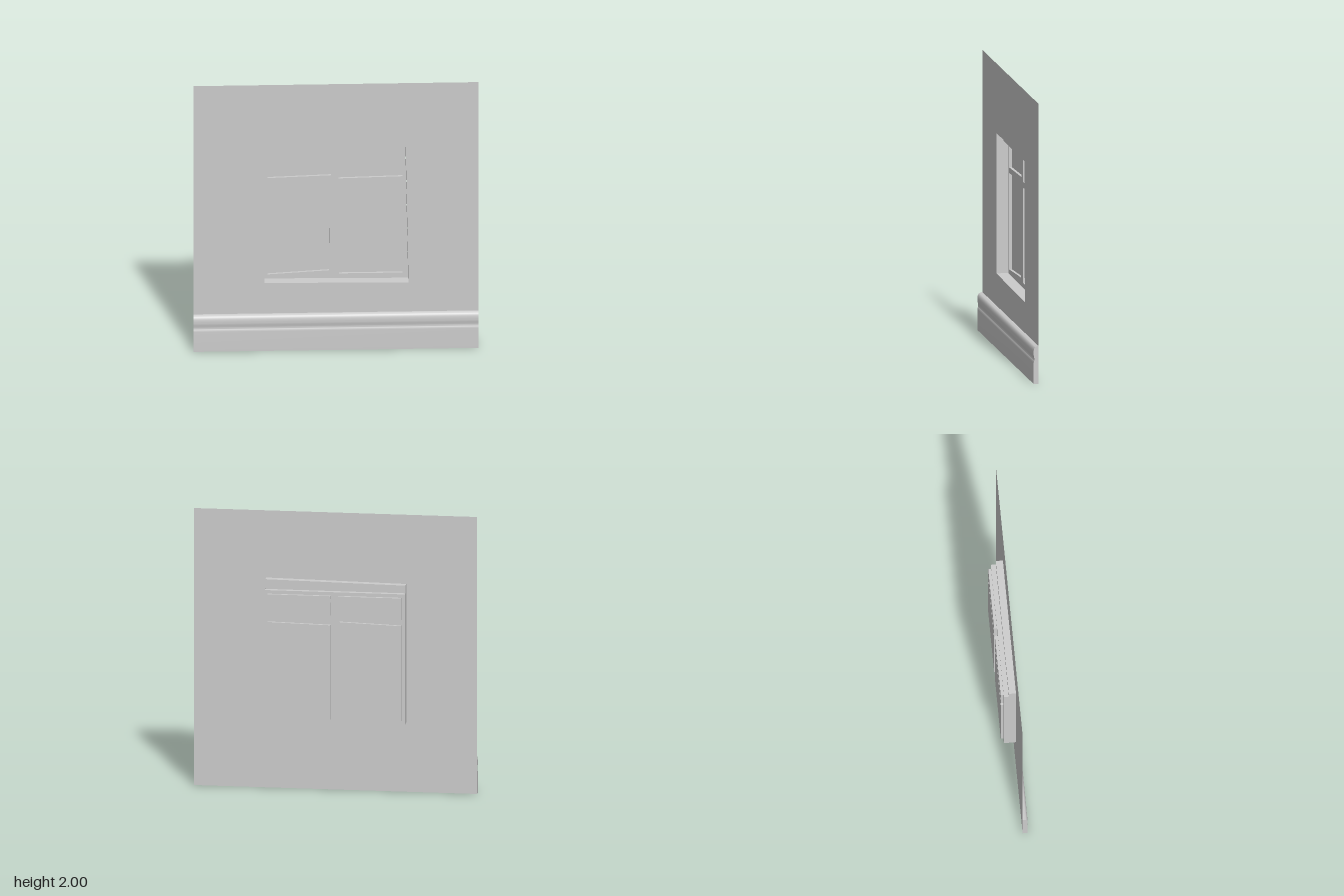
import * as THREE from 'three';
import { toCreasedNormals } from 'three/addons/utils/BufferGeometryUtils.js';

const material = new THREE.MeshStandardMaterial({ color: 0xcccccc, side: THREE.DoubleSide });

// depths from the wall face back to the glass
const WALL = 0.035, LEDGE = -0.015, FRAME = -0.05, GLASS = -0.07;

// outlines run counter-clockwise from bottom left
const opening = [[-0.5, 0.5], [0.51, 0.49], [0.49, 1.515], [-0.5, 1.5]];
const inner = [[-0.5, 0.5], [0.51, 0.49], [0.491, 1.445], [-0.5, 1.445]];
const panes = {
  upperRightPane: [[-0.475, 1.26], [-0.03, 1.275], [-0.03, 1.42], [-0.475, 1.42]],
  upperLeftPane: [[0.02, 1.25], [0.47, 1.26], [0.47, 1.42], [0.025, 1.42]],
  lowerRightPane: [[-0.475, 0.53], [-0.045, 0.555], [-0.04, 1.235], [-0.475, 1.22]],
  lowerLeftPane: [[0.025, 0.53], [0.47, 0.53], [0.47, 1.22], [0.025, 1.21]],
};

const toPoints = (outline) => outline.map(([x, y]) => new THREE.Vector2(x, y));

// flat sheet facing +z, with optional holes
function sheet(outline, z, holes = []) {
  const shape = new THREE.Shape(toPoints(outline));
  shape.holes = holes.map((h) => new THREE.Path(toPoints(h)));
  return new THREE.ShapeGeometry(shape).translate(0, 0, z);
}

// inward-facing band that carries an outline from zFront back to zBack
function reveal(outline, zFront, zBack) {
  const pos = [];
  outline.forEach(([ax, ay], i) => {
    const [bx, by] = outline[(i + 1) % outline.length];
    pos.push(ax, ay, zFront, bx, by, zFront, bx, by, zBack);
    pos.push(ax, ay, zFront, bx, by, zBack, ax, ay, zBack);
  });
  const geometry = new THREE.BufferGeometry();
  geometry.setAttribute('position', new THREE.Float32BufferAttribute(pos, 3));
  geometry.computeVertexNormals();
  return geometry;
}

export function createModel() {
  const model = new THREE.Group();
  model.name = 'wallWithWindow';
  const add = (name, geometry, parent = model) => {
    const mesh = new THREE.Mesh(geometry, material);
    mesh.name = name;
    parent.add(mesh);
    return mesh;
  };

  // wall with the window opening
  add('wall', sheet([[-1, 0], [1, 0], [1, 2], [-1, 2]], WALL, [opening]));

  // stepped recess: full opening, lintel step, then the shorter inner part
  add('outerReveal', reveal(opening, WALL, LEDGE));
  add('lintelStep', sheet([inner[3], inner[2], opening[2], opening[3]], LEDGE));
  add('innerReveal', reveal(inner, LEDGE, FRAME));

  // frame with four sunken panes
  add('windowFrame', sheet(inner, FRAME, Object.values(panes)));
  for (const [name, outline] of Object.entries(panes)) {
    const pane = new THREE.Group();
    pane.name = name;
    add('paneEdge', reveal(outline, FRAME, GLASS), pane);
    add('glass', sheet(outline, GLASS), pane);
    model.add(pane);
  }

  // moulded baseboard: profile in (z, y), extruded along x
  const profile = new THREE.Shape();
  profile.moveTo(WALL, 0);
  profile.lineTo(0.07, 0);
  profile.lineTo(0.07, 0.15);
  profile.bezierCurveTo(0.07, 0.165, 0.064, 0.165, 0.065, 0.178);
  profile.bezierCurveTo(0.067, 0.195, 0.071, 0.2, 0.071, 0.22);
  profile.bezierCurveTo(0.071, 0.25, 0.066, 0.266, 0.042, 0.27);
  profile.lineTo(WALL, 0.27);
  profile.closePath();
  const board = new THREE.ExtrudeGeometry(profile, { depth: 2, bevelEnabled: false, curveSegments: 8 });
  board.rotateY(-Math.PI / 2).scale(1, 1, 1).translate(1, 0, 0);
  add('baseboard', toCreasedNormals(board, 0.6));

  return model;
}
